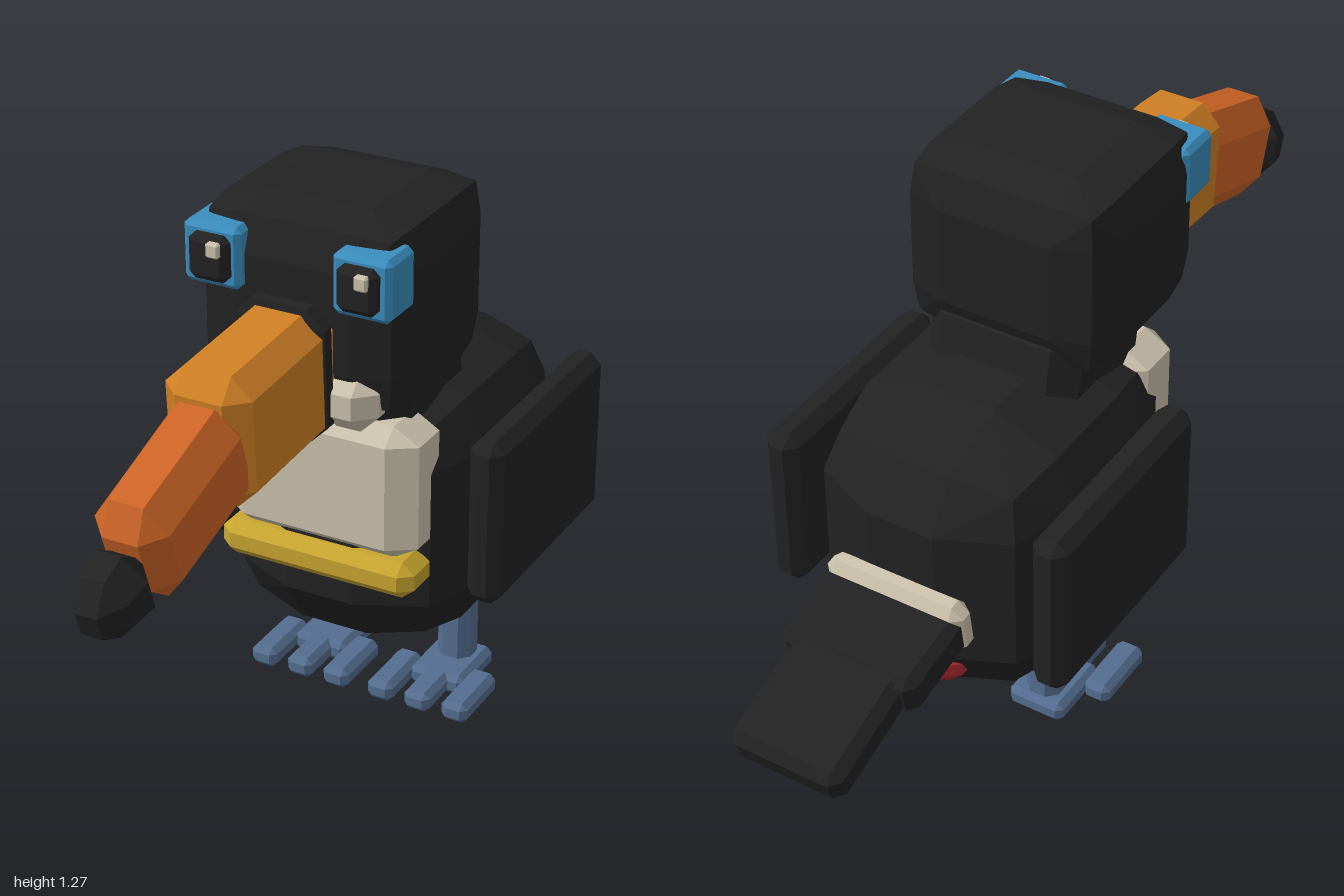
import * as THREE from 'three';
import { ConvexGeometry } from 'three/addons/geometries/ConvexGeometry.js';

const paint = (name, color) => {
  const m = new THREE.MeshStandardMaterial({ color });
  m.name = name;
  return m;
};

// Calls fn once for each of the eight octants
function octants(fn) {
  for (const x of [-1, 1]) for (const y of [-1, 1]) for (const z of [-1, 1]) fn(x, y, z);
}

// Box with bevelled edges; the bevel may differ per axis, and the front (+z) may taper
function bevelBox([w, h, d], bevel, taper = 1) {
  const [bx, by, bz] = Array.isArray(bevel) ? bevel : [bevel, bevel, bevel];
  const pts = [];
  octants((x, y, z) => {
    const k = z > 0 ? taper : 1;
    const add = (px, py, pz) => pts.push(new THREE.Vector3(x * px * k, y * py * k, z * pz));
    add(w / 2, h / 2 - by, d / 2 - bz);
    add(w / 2 - bx, h / 2, d / 2 - bz);
    add(w / 2 - bx, h / 2 - by, d / 2);
  });
  return new ConvexGeometry(pts);
}

// Rounder block: flat face centres, then a ring of edge points and a pulled-in corner
function softBlock(half, flat, edge, corner) {
  const pts = [];
  octants((x, y, z) => {
    const add = (p) => pts.push(new THREE.Vector3(x * p[0], y * p[1], z * p[2]));
    for (let i = 0; i < 3; i++) {
      add(flat.map((f, j) => (j === i ? half[j] : f)));
      add(edge.map((e, j) => (j === i ? flat[j] : e)));
    }
    add(edge.map((e) => e * corner));
  });
  return new ConvexGeometry(pts);
}

export function createModel() {
  const model = new THREE.Group();
  model.name = 'bird';

  const black = paint('black feathers', 0x222222);
  const cream = paint('cream', 0xcbc2ac);
  const yellow = paint('yellow', 0xc8a52f);
  const blue = paint('blue', 0x3a8dbd);
  const amber = paint('amber', 0xd08024);
  const orange = paint('orange', 0xcd6426);
  const slate = paint('slate blue', 0x546e90);
  const red = paint('red', 0xa8292f);

  const add = (name, geometry, material, [x, y, z], tilt = 0, parent = model) => {
    const mesh = new THREE.Mesh(geometry, material);
    mesh.name = name;
    mesh.position.set(x, y, z);
    mesh.rotation.x = tilt;
    parent.add(mesh);
    return mesh;
  };

  // Body, neck and head
  add('body', softBlock([0.285, 0.33, 0.35], [0.08, 0.16, 0.12], [0.23, 0.27, 0.28], 0.9),
    black, [0, 0.515, -0.22]);
  add('neck', bevelBox([0.36, 0.22, 0.33], 0.05), black, [0, 0.83, -0.055], 0.2);
  add('head', softBlock([0.24, 0.215, 0.225], [0.13, 0.11, 0.12], [0.213, 0.188, 0.197], 0.96),
    black, [0, 1.065, 0.015]);

  // Chest
  add('chestBib', bevelBox([0.46, 0.31, 0.17], [0.06, 0.035, 0.04]), cream, [0, 0.645, 0.07]);
  add('chestBand', bevelBox([0.465, 0.085, 0.12], [0.03, 0.025, 0.025]), yellow, [0, 0.453, 0.1]);

  // Beak, from face to tip
  add('beakRing', bevelBox([0.205, 0.3, 0.05], [0.04, 0.04, 0.012]), black, [0, 0.96, 0.265], 0.05);
  add('beakBase', bevelBox([0.195, 0.29, 0.42], [0.045, 0.045, 0.04]), amber, [0, 0.945, 0.38], 0.06);
  add('beakMiddle', bevelBox([0.17, 0.245, 0.36], [0.045, 0.06, 0.045], 0.97), orange,
    [0, 0.865, 0.69], 0.32);
  add('beakTip', bevelBox([0.145, 0.175, 0.16], [0.045, 0.055, 0.05], 0.85), black,
    [0, 0.77, 0.918], 0.32);

  // Paired parts
  for (const [side, s] of [['left', 1], ['right', -1]]) {
    add(side + 'Cheek', bevelBox([0.14, 0.135, 0.11], 0.042), cream, [s * 0.12, 0.897, 0.205]);
    add(side + 'EyeFrame', bevelBox([0.132, 0.135, 0.11], 0.012), blue, [s * 0.17, 1.167, 0.207]);
    add(side + 'Eye', bevelBox([0.092, 0.1, 0.05], 0.014), black, [s * 0.168, 1.167, 0.26]);
    add(side + 'EyeGlint', bevelBox([0.03, 0.032, 0.02], 0.004), cream,
      [s * 0.167 + 0.018, 1.192, 0.284]);
    add(side + 'Wing', bevelBox([0.08, 0.39, 0.54], 0.025), black, [s * 0.32, 0.545, -0.268]);

    // Leg with a heel pad and three toes
    const leg = new THREE.Group();
    leg.name = side + 'Leg';
    leg.position.set(s * 0.15, 0, -0.25);
    model.add(leg);
    add('shin', bevelBox([0.082, 0.28, 0.08], [0.022, 0.01, 0.022]), slate, [0, 0.16, 0], 0, leg);
    add('heelPad', bevelBox([0.135, 0.05, 0.17], 0.014), slate, [0, 0.03, 0.03], 0, leg);
    for (const t of [-1, 0, 1]) {
      add('toe', bevelBox([0.064, 0.05, 0.17], 0.014), slate, [t * 0.093, 0.03, 0.13], 0, leg);
    }
  }

  // Tail
  add('tailCollar', bevelBox([0.33, 0.13, 0.06], [0.025, 0.025, 0.018]), cream, [0, 0.478, -0.575], -0.15);
  add('tailBase', bevelBox([0.32, 0.1, 0.22], 0.02), black, [0, 0.452, -0.665], -0.2);
  add('tailEnd', bevelBox([0.265, 0.09, 0.28], 0.022), black, [0, 0.396, -0.858], -0.33);
  add('underTail', bevelBox([0.25, 0.1, 0.11], 0.035), red, [0, 0.32, -0.52]);

  return model;
}
